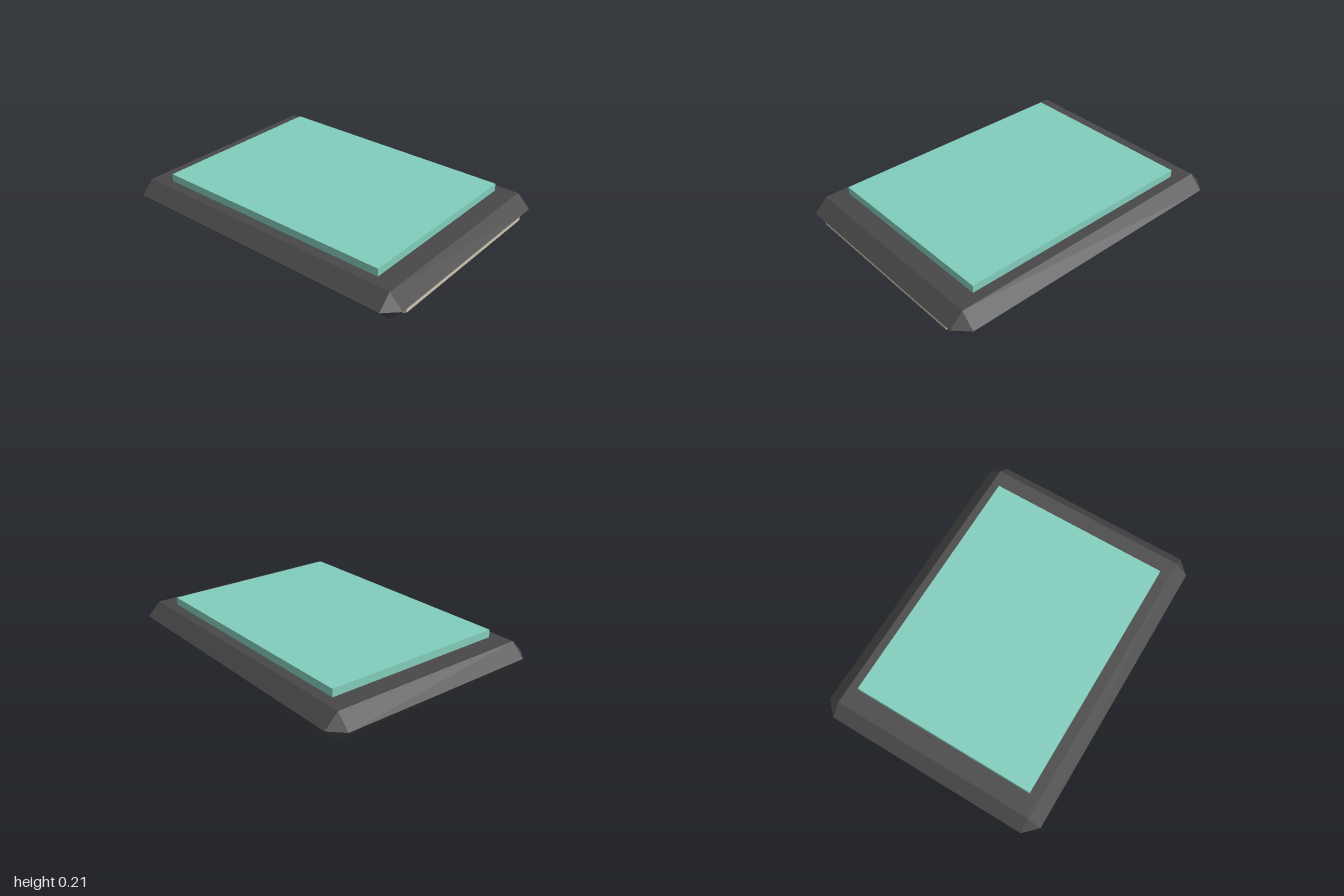
import * as THREE from 'three';
import { ConvexGeometry } from 'three/addons/geometries/ConvexGeometry.js';

function material(name, color) {
  const m = new THREE.MeshStandardMaterial({ color });
  m.name = name;
  return m;
}

function addMesh(group, name, geometry, mat) {
  const mesh = new THREE.Mesh(geometry, mat);
  mesh.name = name;
  group.add(mesh);
  return mesh;
}

// Box with every edge chamfered to a pointed rim at half height
function chamferedSlab(halfX, halfZ, height, bevel) {
  const x = halfX - bevel, z = halfZ - bevel, points = [];
  for (const sx of [-1, 1]) {
    for (const sz of [-1, 1]) {
      points.push(
        new THREE.Vector3(sx * x, 0, sz * z),
        new THREE.Vector3(sx * x, height, sz * z),
        new THREE.Vector3(sx * halfX, height / 2, sz * z),
        new THREE.Vector3(sx * x, height / 2, sz * halfZ)
      );
    }
  }
  return new ConvexGeometry(points);
}

export function createModel() {
  const group = new THREE.Group();
  const charcoal = material('charcoal', 0x484848);
  const teal = material('teal', 0x82cdbc);
  const beige = material('beige', 0xcbc0ae);

  // Body
  addMesh(group, 'body', chamferedSlab(1, 0.735, 0.165, 0.0825), charcoal);

  // Raised panel, sunk slightly into the body
  const panel = addMesh(group, 'topPanel', new THREE.BoxGeometry(1.59, 0.1, 1.174), teal);
  panel.position.y = 0.163;

  // Strip along the lower left bevel, extruded along z
  const profile = new THREE.Shape([
    [0.9, 0.004], [0.935, 0.004], [0.978, 0.027], [0.978, 0.064], [0.9, 0.064],
  ].map(([x, y]) => new THREE.Vector2(x, y)));
  const strip = new THREE.ExtrudeGeometry(profile, { depth: 1.174, bevelEnabled: false });
  strip.translate(0, 0, -0.587);
  addMesh(group, 'sideStrip', strip, beige);

  return group;
}
